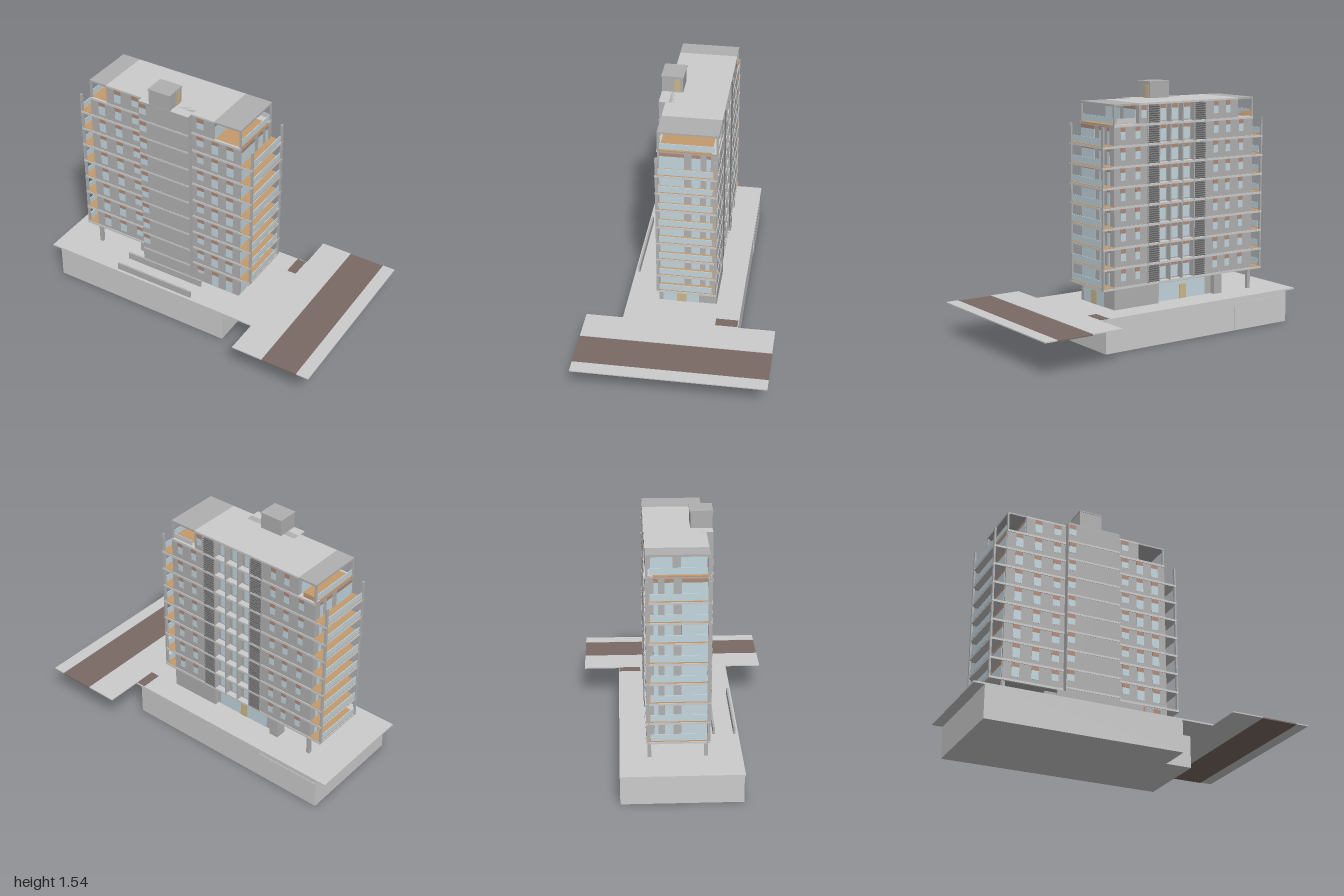
import * as THREE from 'three';

const mats = {};
const COLORS = {
  light: 0xcccccc, wall: 0xb0b0b0, dark: 0x6a6a6a, tan: 0xc49a6c, door: 0xcdb88a,
  panel: 0xb08a78, glass: 0xc3d6de, road: 0x7a6a64,
};
const mat = (c) => (mats[c] ??= new THREE.MeshStandardMaterial({ color: COLORS[c] }));

// Box between two corners
function box(parent, name, c, [x0, x1], [y0, y1], [z0, z1]) {
  const m = new THREE.Mesh(new THREE.BoxGeometry(x1 - x0, y1 - y0, z1 - z0), mat(c));
  m.position.set((x0 + x1) / 2, (y0 + y1) / 2, (z0 + z1) / 2);
  m.name = name;
  parent.add(m);
  return m;
}

function group(parent, name) {
  const g = new THREE.Group();
  g.name = name;
  parent.add(g);
  return g;
}

const X0 = -0.767, X1 = 0.286, ZB = -0.2, ZF = 0.157, CORE = 0.197;
const BASE = 0.34, STEP = 0.1205, TOP = 1.304, ROOF = 1.432, GROUND = 0.21;
const TX0 = -0.647, TX1 = 0.108; // walls of the set-back top storey
const LOUVRES = [[-0.39, -0.31], [-0.04, 0.04]];

// Window with a coloured panel above it, on a front or back wall
function windowZ(g, x, y, h, z, w = 0.046) {
  box(g, 'windowPane', 'glass', [x, x + w], [y - h, y - 0.028], [z - 0.002, z + 0.002]);
  box(g, 'windowPanel', 'panel', [x, x + w], [y - 0.028, y], [z - 0.002, z + 0.002]);
}

function site(root) {
  const g = group(root, 'site');
  // Basement with one corner cut out
  const s = new THREE.Shape();
  [[-0.935, -0.35], [-0.935, 0.35], [0.45, 0.35], [0.45, -0.14], [0.285, -0.14], [0.285, -0.35]]
    .forEach(([x, y], i) => (i ? s.lineTo(x, y) : s.moveTo(x, y)));
  const b = new THREE.Mesh(new THREE.ExtrudeGeometry(s, { depth: 0.2, bevelEnabled: false }), mat('light'));
  b.rotation.x = -Math.PI / 2;
  b.name = 'basement';
  g.add(b);
  box(g, 'garageDoor', 'light', [-0.93, -0.515], [0.005, 0.175], [-0.354, -0.35]);
  // Ground slab, side street and ramp
  box(g, 'groundSlab', 'light', [-1, 0.49], [0.2, GROUND], [-0.355, 0.35]);
  box(g, 'pavement', 'light', [0.49, 0.69], [0.203, GROUND], [-0.58, 0.575]);
  box(g, 'pavement', 'light', [0.92, 1], [0.203, GROUND], [-0.58, 0.575]);
  box(g, 'road', 'road', [0.69, 0.92], [0.2, 0.207], [-0.58, 0.575]);
  box(g, 'ramp', 'road', [0.425, 0.485], [0.2, 0.2115], [-0.35, -0.215]);
  // Low garden walls
  for (const z of [0.198, 0.32]) box(g, 'gardenWall', 'wall', [-0.5, 0.04], [0.2, 0.255], [z, z + 0.012]);
}

function groundFloor(root) {
  const g = group(root, 'groundFloor');
  box(g, 'entranceBlock', 'wall', [-0.48, X1], [0.2, BASE], [-0.165, 0.1]);
  box(g, 'frontWall', 'wall', [-0.095, X1], [0.2, BASE], [0.1, ZF]);
  box(g, 'backWall', 'wall', [-0.04, X1], [0.2, BASE], [ZB, -0.165]);
  box(g, 'backPier', 'wall', [-0.53, -0.47], [0.2, BASE], [ZB, -0.13]);
  for (const z of [ZB + 0.005, ZF - 0.027]) box(g, 'column', 'wall', [-0.766, -0.744], [0.2, BASE], [z, z + 0.022]);
  for (const x of [0.095, 0.195]) windowZ(g, x, 0.325, 0.115, ZF);
  windowZ(g, -0.01, 0.325, 0.05, ZF);
  // Glazed lobby on the end wall and the back entrance
  box(g, 'lobbyGlass', 'glass', [X1 - 0.002, X1 + 0.002], [GROUND, 0.322], [-0.09, 0.13]);
  box(g, 'lobbyPanel', 'panel', [X1 - 0.002, X1 + 0.002], [0.322, 0.334], [-0.09, 0.13]);
  box(g, 'lobbyDoor', 'door', [X1 - 0.002, X1 + 0.004], [GROUND, 0.295], [-0.012, 0.045]);
  box(g, 'backGlass', 'glass', [-0.42, -0.06], [GROUND, 0.32], [-0.168, -0.164]);
  box(g, 'backDoor', 'door', [-0.27, -0.22], [GROUND, 0.3], [-0.171, -0.164]);
}

function tower(root) {
  const g = group(root, 'tower');
  box(g, 'towerBody', 'wall', [X0, X1], [BASE, TOP], [-0.165, ZF]);
  box(g, 'topStorey', 'wall', [TX0, TX1], [TOP, ROOF - 0.01], [-0.165, ZF]);
  box(g, 'core', 'wall', [-0.388, -0.043], [0.2, ROOF], [ZF - 0.06, CORE]);
  // Back walls either side of the recessed middle bay
  for (const [a, b, ta, tb] of [[X0, -0.39, TX0, -0.39], [0.04, X1, 0.04, TX1]]) {
    box(g, 'backWall', 'wall', [a, b], [BASE, TOP], [ZB, -0.16]);
    box(g, 'topBackWall', 'wall', [ta, tb], [TOP, ROOF - 0.01], [ZB, -0.16]);
  }
  // Fins beside the louvred shafts and in the middle bay
  for (const x of [-0.395, -0.31, -0.22, -0.13, -0.045, 0.037])
    box(g, 'fin', 'wall', [x, x + 0.008], [BASE, ROOF - 0.01], [-0.204, -0.16]);

  for (let i = 0; i < 9; i++) {
    const y = BASE + STEP * i, top = i === 8, head = y + 0.115;
    const [a, b] = [X0, X1];
    // Floor bands
    box(g, 'frontBand', 'light', [a, b], [y - 0.007, y + 0.007], [ZF - 0.01, ZF + 0.004]);
    box(g, 'coreBand', 'light', [-0.388, -0.043], [y - 0.006, y + 0.006], [CORE - 0.01, CORE + 0.002]);
    box(g, 'backBand', 'light', [a, b], [y - 0.007, y + 0.007], [ZB - 0.004, -0.16]);
    // Front windows
    for (const x of [-0.59, -0.465, -0.01]) windowZ(g, x, head, x < -0.5 ? 0.085 : 0.07, ZF);
    for (const x of [-0.383, -0.095]) windowZ(g, x, head, 0.07, x < -0.3 ? CORE : ZF);
    if (!top) for (const x of [-0.71, 0.09, 0.193]) windowZ(g, x, head, 0.09, ZF);
    // Back windows
    for (const x of top ? [-0.585, -0.49, 0.055] : [-0.69, -0.585, -0.49, 0.1, 0.205])
      windowZ(g, x, head, 0.075, ZB, 0.035);
    for (const x of [-0.295, -0.205, -0.115]) windowZ(g, x, head, 0.1, -0.165, 0.055);
    // Louvres
    for (const [l, r] of LOUVRES) {
      for (let k = 1; k < 9; k++) {
        const s = box(g, 'louvre', 'dark', [l, r], [y + k * 0.013, y + k * 0.013 + 0.004], [-0.206, -0.188]);
        s.rotation.x = -0.4;
      }
      box(g, 'louvreBacking', 'dark', [l, r], [y, y + STEP], [-0.185, -0.16]);
    }
  }
}

// Glazing of an end wall, s is the outward direction
function endGlazing(g, x, y, top) {
  const bays = top ? [[0, 0.145], [-0.17, -0.045]] : [[0, 0.145], [-0.095, -0.045], [-0.155, -0.13]];
  for (const [z0, z1] of bays) {
    box(g, 'endWindow', 'glass', [x - 0.003, x + 0.003], [y + 0.008, y + 0.09], [z0, z1]);
    box(g, 'endPanel', 'panel', [x - 0.003, x + 0.003], [y + 0.09, y + 0.112], [z0, z1]);
  }
}

function balconies(root) {
  for (const s of [-1, 1]) {
    const g = group(root, s > 0 ? 'leftBalconies' : 'rightBalconies');
    const inner = s > 0 ? X1 : X0, outer = inner + s * 0.08;
    const span = (a, b) => [Math.min(a, b), Math.max(a, b)];
    for (let i = 0; i < 8; i++) {
      const y = BASE + STEP * i;
      box(g, 'balconySlab', 'light', span(inner, outer), [y - 0.008, y + 0.005], [ZB - 0.004, ZF + 0.004]);
      box(g, 'balconyFloor', 'tan', span(inner, outer - s * 0.004), [y + 0.005, y + 0.008], [ZB, ZF]);
      box(g, 'glassRailing', 'glass', span(outer - s * 0.007, outer - s * 0.003), [y + 0.012, y + 0.052], [-0.177, 0.143]);
      endGlazing(g, inner, y, false);
    }
    for (const z of [ZB - 0.002, ZF - 0.016])
      box(g, 'balconyPost', 'wall', span(outer - s * 0.011, outer), [BASE - 0.008, TOP], [z, z + 0.018]);

    // Roof terrace with corner posts, railings and a canopy
    const t = group(root, s > 0 ? 'leftTerrace' : 'rightTerrace');
    const wall = s > 0 ? TX1 : TX0;
    box(t, 'terraceFloor', 'tan', span(wall, inner), [TOP, TOP + 0.006], [ZB, ZF]);
    box(t, 'canopy', 'wall', span(wall, inner), [ROOF - 0.012, ROOF], [ZB, ZF]);
    for (const z of [ZB, ZF - 0.014])
      box(t, 'terracePost', 'wall', span(inner - s * 0.01, inner), [TOP, ROOF - 0.01], [z, z + 0.014]);
    box(t, 'terraceRailing', 'glass', span(inner - s * 0.006, inner - s * 0.002), [TOP + 0.014, TOP + 0.052], [-0.177, 0.143]);
    if (s > 0) box(t, 'backRailing', 'light', [0.13, 0.267], [TOP + 0.014, TOP + 0.044], [ZB + 0.002, ZB + 0.006]);
    else box(t, 'planter', 'tan', [-0.762, -0.682], [TOP + 0.014, TOP + 0.042], [ZB + 0.002, ZB + 0.008]);
    endGlazing(t, wall, TOP, true);
  }
}

function roof(root) {
  const g = group(root, 'roof');
  box(g, 'roofSlab', 'light', [TX0, TX1], [ROOF - 0.012, ROOF], [ZB, ZF]);
  box(g, 'coreRoof', 'light', [-0.388, -0.043], [ROOF - 0.002, ROOF + 0.001], [ZF - 0.02, CORE]);
  // Lift housing with its door
  box(g, 'liftHousing', 'wall', [-0.313, -0.168], [ROOF, 1.53], [0.07, 0.197]);
  box(g, 'liftHousingRoof', 'wall', [-0.316, -0.165], [1.528, 1.536], [0.065, 0.2]);
  box(g, 'liftHousingDoor', 'door', [-0.17, -0.166], [ROOF, 1.518], [0.088, 0.122]);
}

export function createModel() {
  const root = new THREE.Group();
  root.name = 'apartmentTower';
  [site, groundFloor, tower, balconies, roof].forEach((build) => build(root));
  return root;
}
